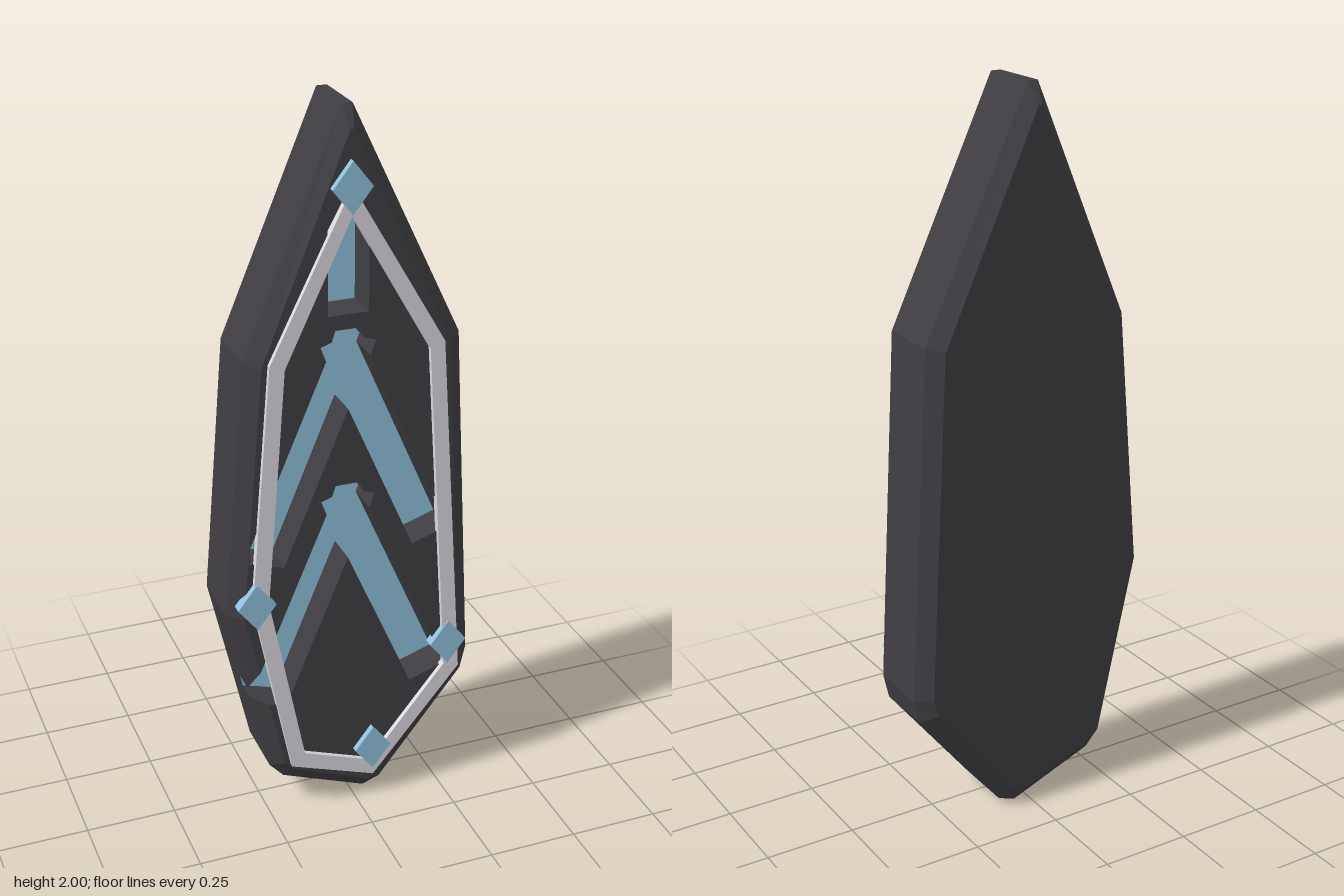
import * as THREE from 'three';

const FRONT = 0.112, EDGE = 0.076, FLOOR = 0.014, BACK_EDGE = -0.097, BACK = -0.132;

// Silhouette and its bevelled inset, counter-clockwise from the top.
// Entries 4 and 5 are the mouth of the groove that breaks through the side.
const NOTCH = 4;
const outer = [[0.003, 2], [-0.025, 2], [-0.29, 1.37], [-0.352, 0.65], [-0.299, 0.411], [-0.292, 0.379],
  [-0.24, 0.14], [-0.2, 0.095], [0.04, 0], [0.09, 0.018], [0.336, 0.33], [0.352, 0.4], [0.3, 1.37]];
const inset = [[-0.006, 1.945], [-0.016, 1.945], [-0.252, 1.36], [-0.313, 0.65], [-0.272, 0.473], [-0.249, 0.366],
  [-0.205, 0.16], [-0.185, 0.138], [0.04, 0.043], [0.06, 0.052], [0.295, 0.355], [0.311, 0.4], [0.262, 1.36]];

const toShape = (pts) => new THREE.Shape(pts.map(([x, y]) => new THREE.Vector2(x, y)));
const at = (pts, z) => pts.map(([x, y]) => [x, y, z]);

// Flat-shaded band between two rows of points, facing right of travel
function strip(low, high, closed = true, skip = -1) {
  const pos = [], n = low.length;
  for (let i = 0; i < (closed ? n : n - 1); i++) {
    if (i === skip) continue;
    const j = (i + 1) % n;
    pos.push(...low[i], ...low[j], ...high[j], ...low[i], ...high[j], ...high[i]);
  }
  const g = new THREE.BufferGeometry();
  g.setAttribute('position', new THREE.Float32BufferAttribute(pos, 3));
  g.computeVertexNormals();
  return g;
}

// Chevron groove outline from its left end over the notched tip and back
function chevron(drop, start, end) {
  const c = -0.02;
  const half = [[0.29, 0.82], [0.06, 1.355], [0.075, 1.395], [0.045, 1.405], [0.035, 1.435]];
  const left = half.slice(1).map(([x, y]) => [c - x, y - drop]);
  const right = half.map(([x, y]) => [c + x, y - drop]).reverse();
  return [...start, ...left, ...right,
    [c + 0.185, 0.785 - drop], [c, 1.215 - drop], [c - 0.18, 0.785 - drop], ...end];
}

export function createModel() {
  const dark = new THREE.MeshStandardMaterial({ color: 0x403e43 });
  dark.name = 'charcoal';
  const blue = new THREE.MeshStandardMaterial({ color: 0x8fc3df });
  blue.name = 'paleBlue';
  const silver = new THREE.MeshStandardMaterial({ color: 0xdddbe0 });
  silver.name = 'silver';

  const model = new THREE.Group();
  model.name = 'shield';
  const add = (name, geo, mat, parent = model) => {
    const m = new THREE.Mesh(geo, mat);
    m.name = name;
    parent.add(m);
    return m;
  };

  // Grooves
  const upper = chevron(0, [[-0.295, 0.855]], [[-0.295, 0.814]]);
  const lower = chevron(0.435, [inset[NOTCH]], [inset[NOTCH + 1]]);
  const stem = [[-0.075, 1.475], [-0.075, 1.7], [-0.02, 1.8], [0.035, 1.72], [0.035, 1.475]];
  const lowerOpen = [outer[NOTCH], ...lower, outer[NOTCH + 1]];

  // Body shell: back, bevels, sides and the pierced front face
  const body = new THREE.Group();
  body.name = 'body';
  model.add(body);
  const backShape = toShape(inset.map(([x, y]) => [-x, y]));
  add('backFace', new THREE.ShapeGeometry(backShape).rotateY(Math.PI).translate(0, 0, BACK), dark, body);
  add('backBevel', strip(at(inset, BACK), at(outer, BACK_EDGE)), dark, body);
  add('rearSides', strip(at(outer, BACK_EDGE), at(outer, FLOOR)), dark, body);
  add('frontSides', strip(at(outer, FLOOR), at(outer, EDGE), true, NOTCH), dark, body);
  add('frontBevel', strip(at(outer, EDGE), at(inset, FRONT), true, NOTCH), dark, body);

  const face = toShape([...inset.slice(0, NOTCH), ...lower, ...inset.slice(NOTCH + 2)]);
  for (const g of [upper, stem]) face.holes.push(toShape(g));
  add('frontFace', new THREE.ShapeGeometry(face).translate(0, 0, FRONT), dark, body);

  // Groove walls and blue floors
  const openTop = lowerOpen.map(([x, y], i) => [x, y, i === 0 || i === lowerOpen.length - 1 ? EDGE : FRONT]);
  add('upperGrooveWall', strip(at(upper, FLOOR), at(upper, FRONT)), dark, body);
  add('stemGrooveWall', strip(at(stem, FLOOR), at(stem, FRONT)), dark, body);
  add('lowerGrooveWall', strip(at(lowerOpen, FLOOR), openTop, false), dark, body);
  for (const [name, pts] of [['upperChevron', upper], ['stem', stem], ['lowerChevron', lowerOpen]])
    add(name, new THREE.ShapeGeometry(toShape(pts)).translate(0, 0, FLOOR), blue);

  // Raised silver border
  const border = toShape([[-0.015, 1.81], [-0.235, 1.37], [-0.293, 0.69], [-0.19, 0.155],
    [0.052, 0.068], [0.307, 0.375], [0.24, 1.37]]);
  border.holes.push(toShape([[-0.015, 1.735], [-0.195, 1.355], [-0.248, 0.69], [-0.152, 0.19],
    [0.043, 0.118], [0.263, 0.39], [0.2, 1.355]]));
  add('border', new THREE.ExtrudeGeometry(border, { depth: 0.022, bevelEnabled: false }).translate(0, 0, 0.104), silver);

  // Diamond studs on the border
  const diamond = toShape([[0, 0.068], [-0.053, 0], [0, -0.068], [0.053, 0]]);
  for (const [x, y] of [[-0.015, 1.805], [-0.282, 0.69], [0.272, 0.46], [0.05, 0.16]])
    add('diamondStud', new THREE.ExtrudeGeometry(diamond, { depth: 0.03, bevelEnabled: false }), blue)
      .position.set(x, y, 0.1);

  return model;
}
